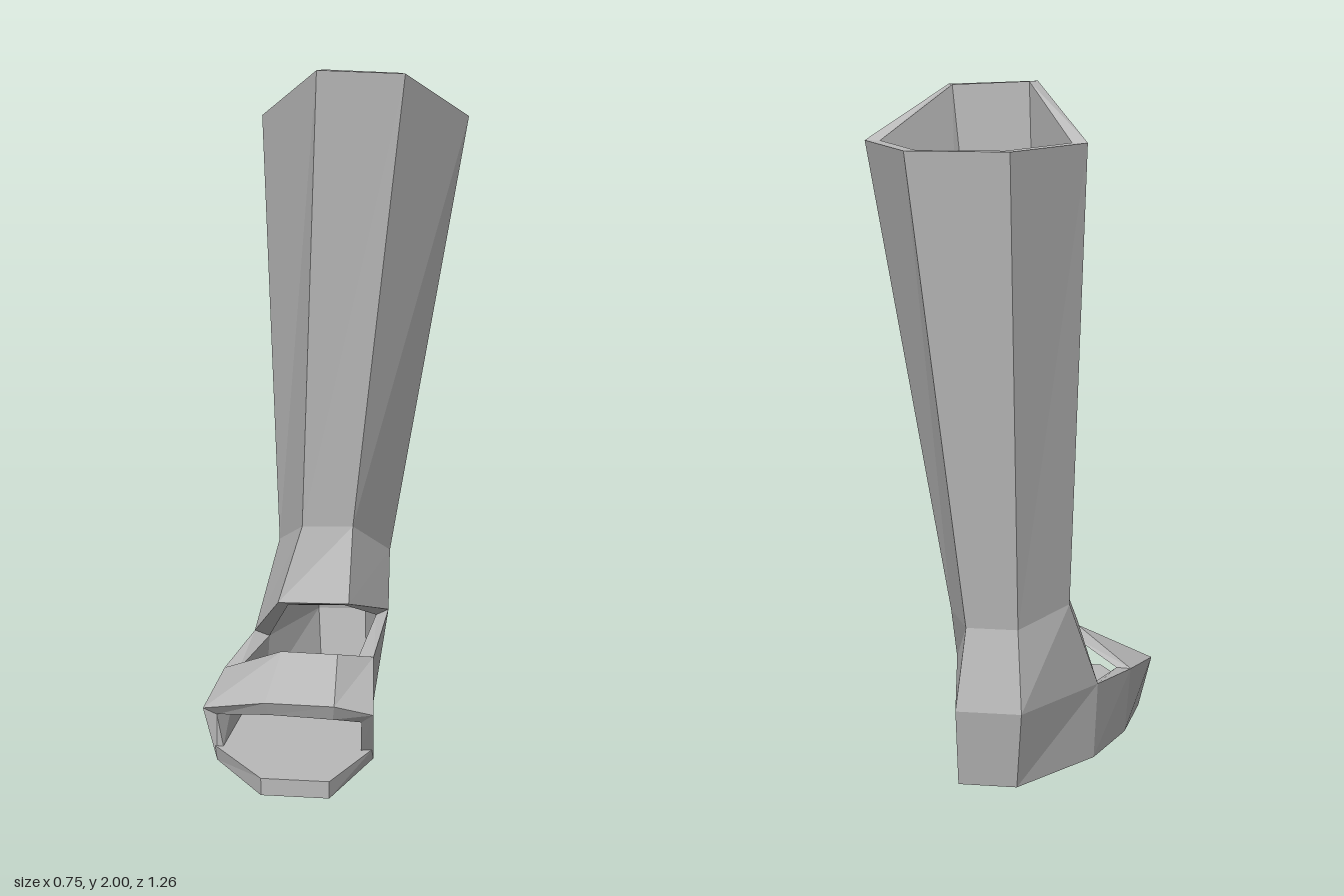
import * as THREE from 'three';

const grey = new THREE.MeshStandardMaterial({ color: 0xb8b8b8, flatShading: true, side: THREE.DoubleSide });
grey.name = 'boot grey';

// Joins two point rows with quads; the first row is the lower left of each quad's partner
function strip(out, a, b, closed = false) {
  const n = a.length;
  for (let i = 0; i < (closed ? n : n - 1); i++) {
    const j = (i + 1) % n;
    out.push(...a[i], ...a[j], ...b[j], ...a[i], ...b[j], ...b[i]);
  }
}

function part(group, name, build) {
  const pos = [];
  build((a, b, closed) => strip(pos, a, b, closed));
  const g = new THREE.BufferGeometry();
  g.setAttribute('position', new THREE.Float32BufferAttribute(pos, 3));
  g.computeVertexNormals();
  const mesh = new THREE.Mesh(g, grey);
  mesh.name = name;
  group.add(mesh);
}

// Shrinks a ring toward its centre to give the wall thickness
function inset(ring, k, drop = 0) {
  const c = [0, 2].map(a => ring.reduce((s, p) => s + p[a], 0) / ring.length);
  return ring.map(p => [c[0] + (p[0] - c[0]) * k, p[1] - drop, c[1] + (p[2] - c[1]) * k]);
}

export function createModel() {
  const group = new THREE.Group();
  group.name = 'boot';

  // Leg rings: front, side, back on the -x side, then back, side, front on +x
  const top = [[-0.07, 2, -0.03], [-0.26, 1.845, -0.34], [-0.09, 1.84, -0.63],
    [0.2, 1.84, -0.635], [0.375, 1.845, -0.34], [0.19, 1.99, -0.05]];
  const ankle = [[-0.12, 0.61, -0.08], [-0.21, 0.51, -0.31], [-0.09, 0.48, -0.5],
    [0.06, 0.48, -0.5], [0.14, 0.48, -0.31], [0.035, 0.61, -0.09]];
  const low = [[-0.19, 0.385, -0.015], [-0.28, 0.24, -0.2], [-0.11, 0.25, -0.56],
    [0.08, 0.25, -0.56], [0.14, 0.31, -0.22], [0.03, 0.4, 0.04]];
  const topIn = inset(top, 0.86), ankleIn = inset(ankle, 0.75), lowIn = inset(low, 0.8, 0.02);

  part(group, 'shaft', s => {
    s(top, ankle, true);
    s(ankleIn, topIn, true);
    s(topIn, top, true);
  });

  part(group, 'ankle', s => {
    s(ankle, low, true);
    s(lowIn, ankleIn, true);
    // Lower edge of the front flap
    const edge = [4, 5, 0, 1];
    s(edge.map(i => low[i]), edge.map(i => lowIn[i]));
  });

  // Foot rows run from the -x front corner round the heel to the +x front corner
  const rim = [[-0.38, 0.165, 0.345], [-0.345, 0.205, 0.08], ...low.slice(1, 5),
    [0.11, 0.26, 0.12], [0.125, 0.185, 0.44]];
  const rimIn = [[-0.34, 0.145, 0.34], [-0.3, 0.205, 0.085], ...lowIn.slice(1, 5),
    [0.065, 0.26, 0.12], [0.09, 0.16, 0.43]];
  const sole = [[-0.34, 0.005, 0.34], [-0.33, 0.01, 0.06], [-0.27, 0.015, -0.21], [-0.09, 0.02, -0.52],
    [0.08, 0.02, -0.52], [0.095, 0.02, -0.13], [0.095, 0.02, 0.06], [0.12, 0.015, 0.33]];
  const floor = inset(sole, 0.86).map(p => [p[0], 0.05, p[2]]);
  floor[0] = [-0.32, 0.05, 0.35];
  floor[7] = [0.085, 0.05, 0.36];

  part(group, 'footWall', s => {
    s(rim, sole);
    s(floor, rimIn);
    for (const i of [1, 5]) s(rimIn.slice(i, i + 2), rim.slice(i, i + 2));
    // Wall ends beside the open toe
    s([sole[0], floor[0]], [rim[0], rimIn[0]]);
    s([floor[7], sole[7]], [rimIn[7], rim[7]]);
  });

  part(group, 'instepStrap', s => {
    const back = [rim[1], [-0.16, 0.3, 0.21], [0.01, 0.308, 0.255], rim[6]];
    const front = [rim[0], [-0.19, 0.21, 0.425], [0.015, 0.225, 0.49], rim[7]];
    const backIn = [rimIn[1], [-0.15, 0.265, 0.195], [0.01, 0.275, 0.24], rimIn[6]];
    const frontIn = [rimIn[0], [-0.18, 0.17, 0.41], [0.01, 0.18, 0.47], rimIn[7]];
    s(front, back);
    s(backIn, frontIn);
    s(back, backIn);
    s(frontIn, front);
  });

  part(group, 'sole', s => {
    const toe = [[-0.185, 0, 0.61], [0.01, 0, 0.625]];
    const toeTop = toe.map(p => [p[0], 0.05, p[2]]);
    // Underside and inner floor, as ladders from toe to heel
    const left = [toe[0], ...sole.slice(0, 4)], right = [toe[1], ...sole.slice(4).reverse()];
    s(left, right);
    s([toeTop[1], ...floor.slice(4).reverse()], [toeTop[0], ...floor.slice(0, 4)]);
    // Slab edge and corner fillers around the toe
    const cornerL = [-0.345, 0.05, 0.345], cornerR = [0.12, 0.05, 0.345];
    s([sole[0], ...toe, sole[7]], [cornerL, ...toeTop, cornerR]);
    s([cornerL, toeTop[0]], [floor[0], toeTop[0]]);
    s([toeTop[1], cornerR], [toeTop[1], floor[7]]);
  });

  return group;
}
